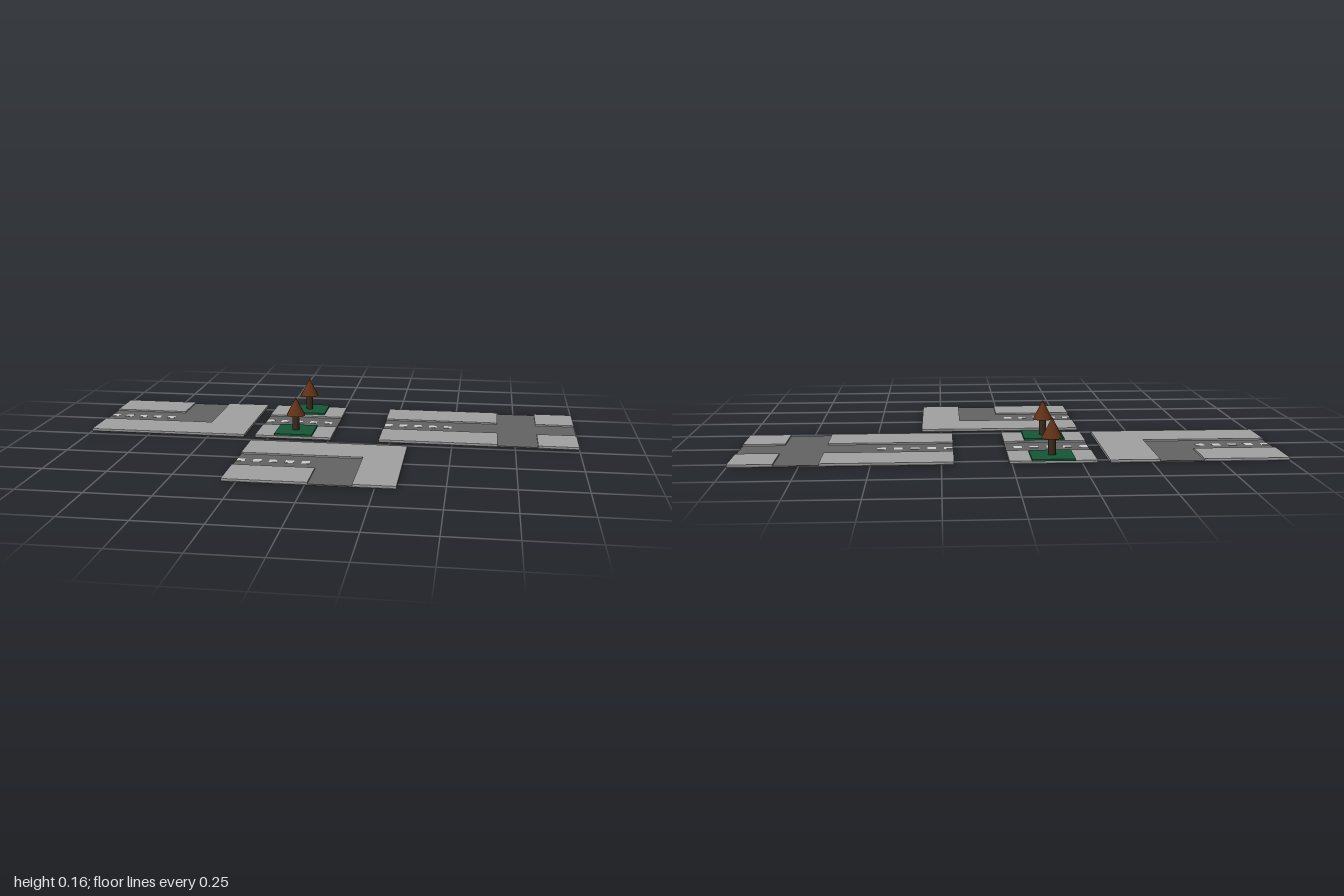
import * as THREE from 'three';

const ROAD_TOP = 0.005, PAVE_TOP = 0.011, GRASS_TOP = 0.018;

const mat = (color) => new THREE.MeshStandardMaterial({ color });
const asphalt = mat(0x646464), paving = mat(0xa1a1a1), paint = mat(0xcccccc);
const grass = mat(0x155836), bark = mat(0x3a2a1c), crown = mat(0x603016);

function add(parent, name, geometry, material) {
  const mesh = new THREE.Mesh(geometry, material);
  mesh.name = name;
  parent.add(mesh);
  return mesh;
}

// Flat box given by its x, z and y limits
function slab(parent, name, [x0, x1], [z0, z1], [y0, y1], material) {
  const mesh = add(parent, name, new THREE.BoxGeometry(x1 - x0, y1 - y0, z1 - z0), material);
  mesh.position.set((x0 + x1) / 2, (y0 + y1) / 2, (z0 + z1) / 2);
}

// L-shaped pavement around the outside of a bend, from [x, z] corners
function bendPavement(parent, corners) {
  const shape = new THREE.Shape(corners.map(([x, z]) => new THREE.Vector2(x, -z)));
  const geometry = new THREE.ExtrudeGeometry(shape, { depth: PAVE_TOP - ROAD_TOP, bevelEnabled: false });
  geometry.rotateX(-Math.PI / 2).translate(0, ROAD_TOP, 0);
  add(parent, 'outerPavement', geometry, paving);
}

// Road base with five painted dashes starting at its -x end
function roadTile(parent, name, xs, zs, dashZ) {
  const tile = new THREE.Group();
  tile.name = name;
  parent.add(tile);
  slab(tile, 'roadBase', xs, zs, [0, ROAD_TOP], asphalt);
  for (let i = 0; i < 5; i++) {
    const x = xs[0] + 0.002 + i * 0.0625;
    slab(tile, 'laneDash', [x, x + 0.032], [dashZ - 0.016, dashZ + 0.016], [ROAD_TOP - 0.001, ROAD_TOP + 0.0008], paint);
  }
  return tile;
}

// Grass square with a simple tree
function treePlot(parent, x, z) {
  const plot = new THREE.Group();
  plot.name = 'treePlot';
  plot.position.set(x, 0, z);
  parent.add(plot);
  slab(plot, 'grass', [-0.078, 0.078], [-0.078, 0.078], [PAVE_TOP, GRASS_TOP], grass);
  add(plot, 'trunk', new THREE.CylinderGeometry(0.014, 0.014, 0.064, 16), bark).position.y = GRASS_TOP + 0.031;
  add(plot, 'treeCrown', new THREE.ConeGeometry(0.039, 0.075, 16), crown).position.y = 0.1175;
}

export function createModel() {
  const model = new THREE.Group();
  model.name = 'roadTileSet';
  const back = [-0.549, -0.035], front = [0.039, 0.557];
  const backStrip = [-0.549, -0.372], frontStrip = [-0.212, -0.035];
  const paveY = [ROAD_TOP, PAVE_TOP];

  // Bend turning to the back
  const bendBack = roadTile(model, 'bendBack', [-1, -0.35], back, -0.291);
  slab(bendBack, 'innerPavement', [-1, -0.69], backStrip, paveY, paving);
  bendPavement(bendBack, [[-1, -0.035], [-0.35, -0.035], [-0.35, -0.549], [-0.53, -0.549], [-0.53, -0.212], [-1, -0.212]]);

  // Straight piece with a tree on each side
  const straight = roadTile(model, 'straightRoad', [-0.305, 0.01], back, -0.291);
  for (const strip of [backStrip, frontStrip]) slab(straight, 'pavement', [-0.305, 0.01], strip, paveY, paving);
  for (const z of [-0.479, -0.12]) treePlot(straight, -0.148, z);

  // Crossroads with four pavement corners
  const cross = roadTile(model, 'crossroads', [0.205, 1], back, -0.291);
  for (const xs of [[0.205, 0.68], [0.84, 1]])
    for (const strip of [backStrip, frontStrip]) slab(cross, 'pavement', xs, strip, paveY, paving);

  // Bend turning to the front
  const bendFront = roadTile(model, 'bendFront', [-0.305, 0.327], front, 0.299);
  slab(bendFront, 'innerPavement', [-0.305, 0.01], [0.378, 0.557], paveY, paving);
  bendPavement(bendFront, [[-0.305, 0.039], [-0.305, 0.219], [0.17, 0.219], [0.17, 0.557], [0.327, 0.557], [0.327, 0.039]]);

  return model;
}
